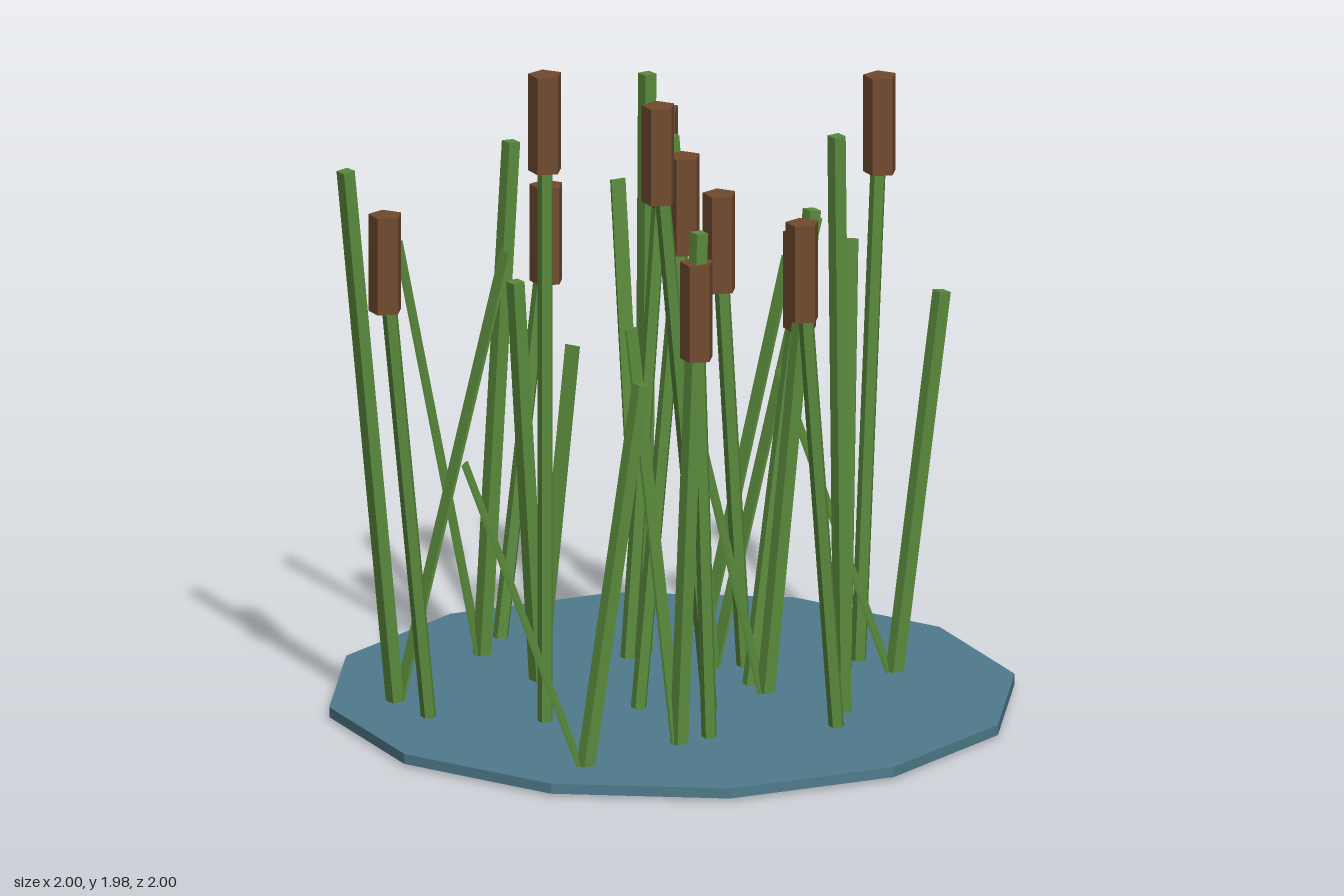
import * as THREE from 'three';

const UP = new THREE.Vector3(0, 1, 0);

function material(name, color) {
  const m = new THREE.MeshStandardMaterial({ color });
  m.name = name;
  return m;
}

// Stand a unit-high geometry between two points, turned about its own axis first.
function span(name, geometry, mat, from, to, turn) {
  const a = new THREE.Vector3(...from), b = new THREE.Vector3(...to);
  const dir = b.clone().sub(a);
  const mesh = new THREE.Mesh(geometry, mat);
  mesh.name = name;
  mesh.scale.y = dir.length();
  mesh.position.copy(a).add(b).multiplyScalar(0.5);
  mesh.quaternion.setFromUnitVectors(UP, dir.normalize())
    .multiply(new THREE.Quaternion().setFromAxisAngle(UP, turn));
  return mesh;
}

// Faceted prism with hard edges, one corner pointing to the back.
function prism(radius, height, sides) {
  const g = new THREE.CylinderGeometry(radius, radius, height, sides);
  g.rotateY(Math.PI);
  const flat = g.toNonIndexed();
  flat.computeVertexNormals();
  return flat;
}

export function createModel() {
  const model = new THREE.Group();
  model.name = 'reedPond';

  const water = material('water blue', 0x4f7b8c);
  const green = material('reed green', 0x5a8a3c);
  const brown = material('cattail brown', 0x704a2e);

  // Pond disc
  const pond = new THREE.Mesh(prism(1, 0.03, 12), water);
  pond.name = 'pond';
  pond.position.y = 0.024;
  model.add(pond);

  const FOOT = 0.004;
  const HEAD = 0.29;
  const stemGeo = prism(0.0235, 1, 5);
  const headGeo = prism(0.05, HEAD, 5);
  const reedGeo = new THREE.BoxGeometry(0.038, 1, 0.038);
  const leafGeo = new THREE.BoxGeometry(0.046, 1, 0.008);

  // Cattails: foot x, foot z, head x, head z, top of head
  const cattails = [
    [-0.40, -0.61, -0.25, -0.68, 1.37],
    [-0.07, -0.35, 0.04, -0.395, 1.67],
    [0.58, -0.215, 0.65, -0.25, 1.78],
    [0.25, -0.215, 0.17, -0.18, 1.47],
    [0.23, -0.03, 0.39, -0.09, 1.37],
    [-0.125, 0.15, 0.02, 0.09, 1.67],
    [0.08, 0.20, -0.085, 0.275, 1.88],
    [-0.41, 0.24, -0.41, 0.24, 1.98],
    [-0.73, 0.14, -0.87, 0.20, 1.57],
    [0.03, 0.475, -0.01, 0.49, 1.47],
    [0.41, 0.43, 0.30, 0.48, 1.57],
  ];
  for (const [fx, fz, hx, hz, top] of cattails) {
    const cattail = new THREE.Group();
    cattail.name = 'cattail';
    const mid = top - HEAD / 2;
    cattail.add(span('stem', stemGeo, green, [fx, FOOT, fz], [hx, mid, hz], 0));
    const head = new THREE.Mesh(headGeo, brown);
    head.name = 'seedHead';
    head.position.set(hx, mid, hz);
    cattail.add(head);
    model.add(cattail);
  }

  // Reed clumps: foot x, z; reed tip x, z, height; leaf tip x, z
  const clumps = [
    [-0.48, -0.45, -0.385, -0.50, 1.56, -0.70, -0.58],
    [0.20, -0.63, 0.075, -0.57, 1.36, 0.47, -0.78],
    [-0.015, -0.40, -0.002, -0.415, 1.77, -0.065, -0.55],
    [-0.36, -0.17, -0.435, -0.13, 1.25, -0.24, -0.295],
    [-0.80, -0.03, -0.96, 0.045, 1.66, -0.455, -0.18],
    [0.15, -0.21, 0.02, -0.15, 1.66, 0.485, -0.37],
    [-0.375, 0.70, -0.195, 0.62, 1.15, -0.70, 0.56],
    [-0.07, 0.525, -0.005, 0.495, 1.56, -0.185, 0.385],
    [0.45, 0.285, 0.43, 0.295, 1.77, 0.495, 0.15],
    [0.66, -0.085, 0.815, -0.165, 1.15, 0.35, -0.235],
    [0.26, 0.06, 0.41, -0.01, 1.46, 0.005, -0.09],
  ];
  for (const [fx, fz, rx, rz, h, lx, lz] of clumps) {
    const clump = new THREE.Group();
    clump.name = 'reedClump';
    const foot = [fx, FOOT, fz];
    clump.add(span('reed', reedGeo, green, foot, [rx, h, rz], 0.44));
    // The leaf is flat across its lean and four fifths as tall as the reed
    const lean = Math.atan2(lx - fx, lz - fz);
    clump.add(span('leaf', leafGeo, green, foot, [lx, h * 0.8, lz], lean));
    model.add(clump);
  }
  return model;
}
